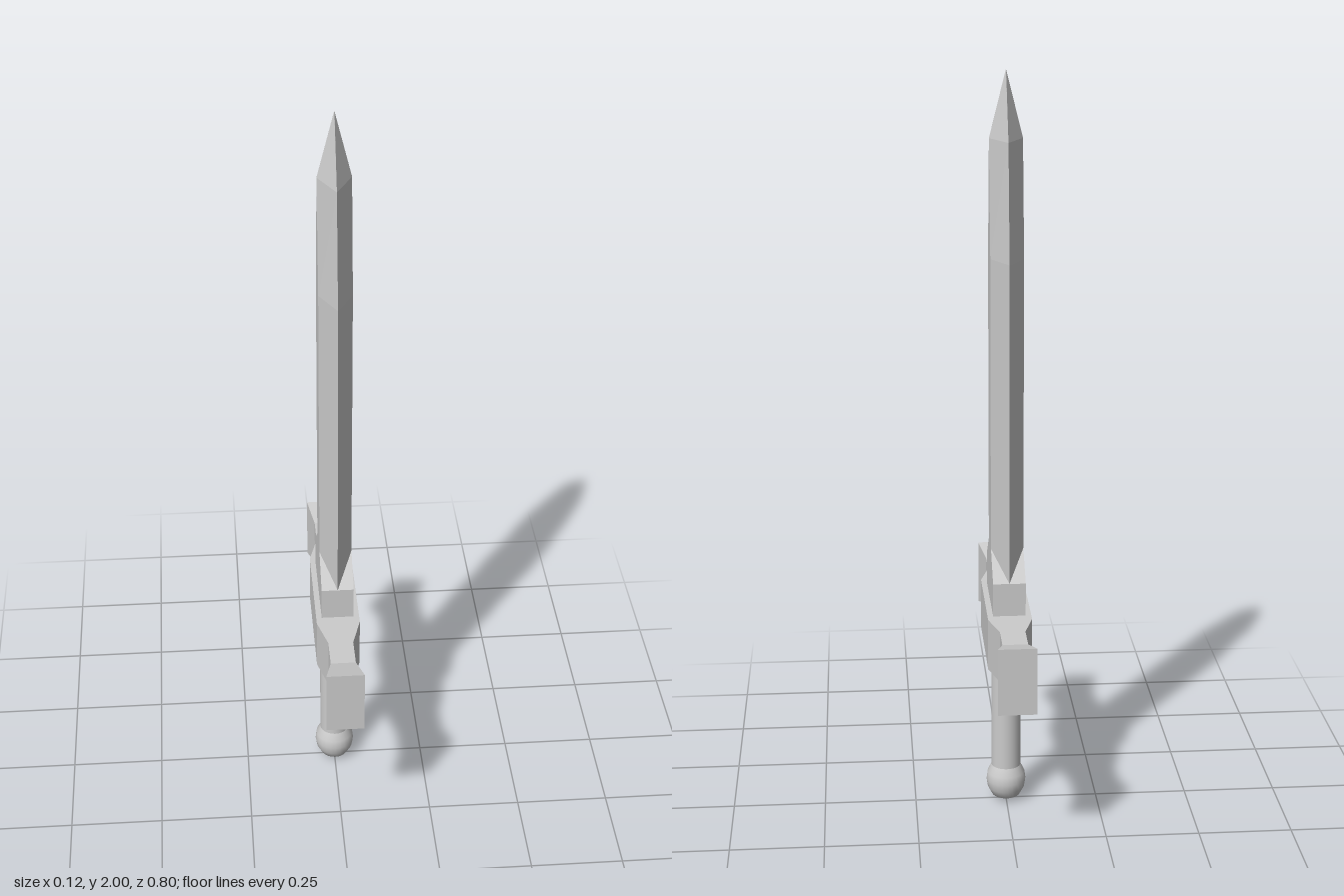
import * as THREE from 'three';

const grey = () => new THREE.MeshStandardMaterial({ color: 0xcccccc, flatShading: true });

// Skins a list of equal-sized point rings and caps both ends; rings turn counterclockwise about the path.
function loft(name, rings) {
  const pos = [];
  const tri = (a, b, c) => pos.push(...a, ...b, ...c);
  const n = rings[0].length;
  for (let r = 0; r < rings.length - 1; r++) {
    for (let i = 0; i < n; i++) {
      const j = (i + 1) % n, a = rings[r], b = rings[r + 1];
      tri(a[i], a[j], b[j]);
      tri(a[i], b[j], b[i]);
    }
  }
  const first = rings[0], last = rings[rings.length - 1];
  for (let i = 1; i < n - 1; i++) {
    tri(first[0], first[i + 1], first[i]);
    tri(last[0], last[i], last[i + 1]);
  }
  const geo = new THREE.BufferGeometry();
  geo.setAttribute('position', new THREE.Float32BufferAttribute(pos, 3));
  geo.computeVertexNormals();
  const mesh = new THREE.Mesh(geo, grey());
  mesh.name = name;
  return mesh;
}

// Slab whose outline lies in the z-y plane, mirrored in z, centred on x = 0.
function slab(name, halfProfile, thickness) {
  const right = halfProfile.map(([z, y]) => new THREE.Vector2(z, y));
  const left = halfProfile.map(([z, y]) => new THREE.Vector2(-z, y)).reverse();
  const geo = new THREE.ExtrudeGeometry(new THREE.Shape([...right, ...left]), {
    depth: thickness, bevelEnabled: false,
  });
  geo.translate(0, 0, -thickness / 2).rotateY(Math.PI / 2);
  const mesh = new THREE.Mesh(geo, grey());
  mesh.name = name;
  return mesh;
}

export function createModel() {
  const model = new THREE.Group();
  model.name = 'sword';

  // Blade: six-sided sections as [height, half width, half thickness, half flat]
  const blade = [
    [0.60, 0.124, 0.043, 0.043],
    [1.53, 0.124, 0.043, 0.043],
    [1.83, 0.085, 0.043, 0.001],
    [2.00, 0.0005, 0.0005, 0.0001],
  ].map(([y, w, t, f]) => [
    [0, y, w], [t, y, f], [t, y, -f], [0, y, -w], [-t, y, -f], [-t, y, f],
  ]);
  model.add(loft('blade', blade));

  // Block at the foot of the blade, with sloped shoulders
  model.add(slab('bladeBase', [[0.124, 0.57], [0.124, 0.68], [0.043, 0.75]], 0.086));

  // Crossguard: sections along z as [z, half thickness, half height], flaring at both ends
  const half = [[0.148, 0.058, 0.07], [0.235, 0.033, 0.07], [0.32, 0.033, 0.07], [0.398, 0.05, 0.09]];
  const guard = [...half.map(([z, t, h]) => [-z, t, h]).reverse(), ...half].map(([z, t, h]) => [
    [-t, 0.52 - h, z], [t, 0.52 - h, z], [t, 0.52 + h, z], [-t, 0.52 + h, z],
  ]);
  model.add(loft('crossguard', guard));

  // Collar under the crossguard
  model.add(slab('collar', [[0.08, 0.42], [0.124, 0.443], [0.124, 0.46]], 0.086));

  // Round grip
  const grip = new THREE.Mesh(new THREE.CylinderGeometry(0.04, 0.04, 0.35, 24, 1, true), grey());
  grip.material.flatShading = false;
  grip.position.y = 0.255;
  grip.name = 'grip';
  model.add(grip);

  // Rounded pommel
  const outline = [[0, 0], [0.02, 0.005], [0.038, 0.015], [0.05, 0.037], [0.054, 0.06], [0.051, 0.082], [0.039, 0.106]]
    .map(([r, y]) => new THREE.Vector2(r, y));
  const pommel = new THREE.Mesh(new THREE.LatheGeometry(outline, 24), grey());
  pommel.material.flatShading = false;
  pommel.name = 'pommel';
  model.add(pommel);

  return model;
}
